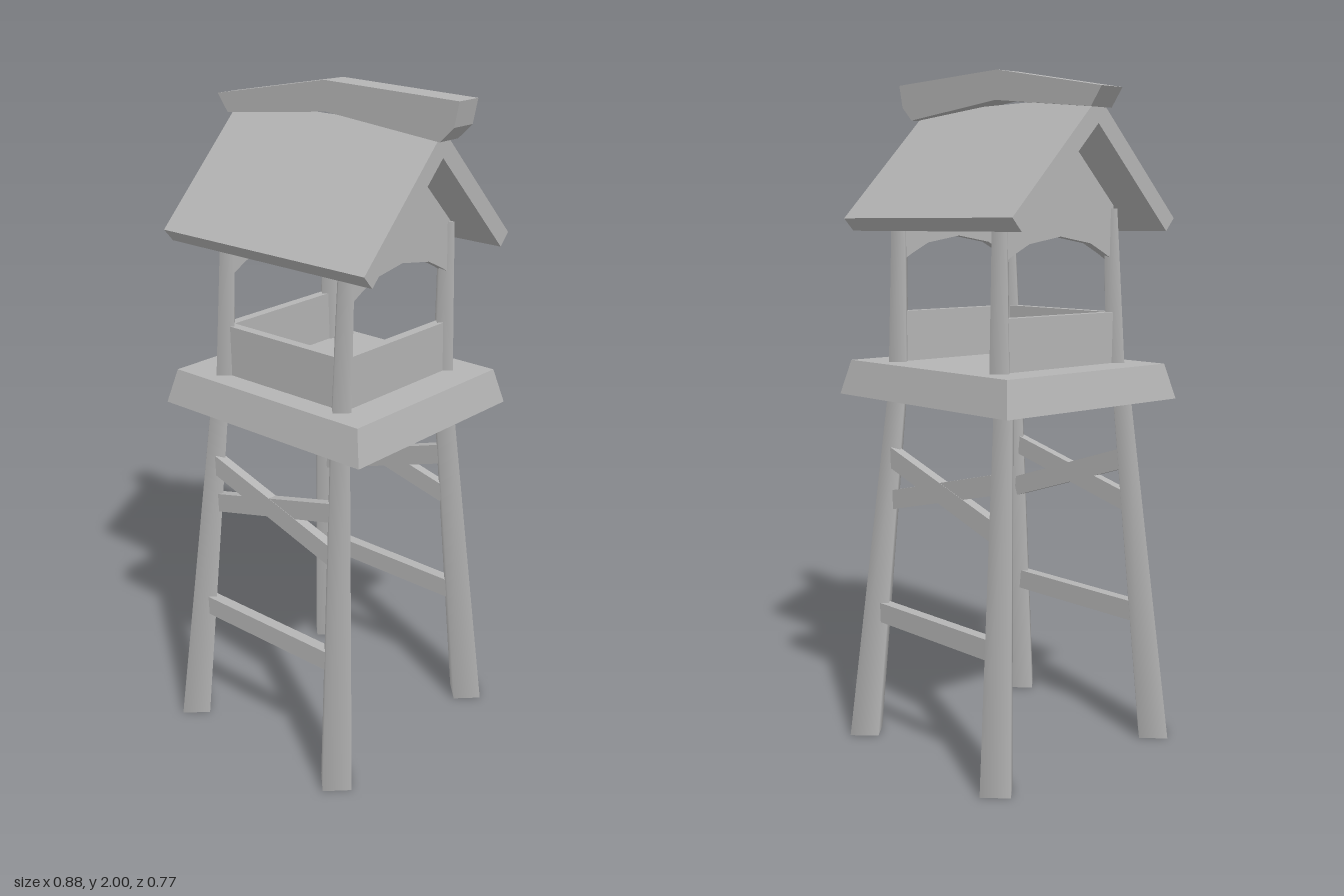
import * as THREE from 'three';

const grey = new THREE.MeshStandardMaterial({ color: 0xb4b4b4, side: THREE.DoubleSide });

function add(group, name, geometry) {
  const mesh = new THREE.Mesh(geometry, grey);
  mesh.name = name;
  group.add(mesh);
  return mesh;
}

// box given by its min and max corners
function block(group, name, a, b) {
  const mesh = add(group, name, new THREE.BoxGeometry(b[0] - a[0], b[1] - a[1], b[2] - a[2]));
  mesh.position.set((a[0] + b[0]) / 2, (a[1] + b[1]) / 2, (a[2] + b[2]) / 2);
  return mesh;
}

// four-sided tapered pole between two points, smooth shaded
function pole(group, name, from, to, rFrom, rTo) {
  const geo = new THREE.CylinderGeometry(rTo, rFrom, to[1] - from[1], 4);
  // shear instead of tilt, so that both ends stay level
  const pos = geo.attributes.position;
  const h = to[1] - from[1];
  for (let i = 0; i < pos.count; i++) {
    const t = pos.getY(i) / h + 0.5;
    pos.setXYZ(i,
      pos.getX(i) + THREE.MathUtils.lerp(from[0], to[0], t),
      from[1] + t * h,
      pos.getZ(i) + THREE.MathUtils.lerp(from[2], to[2], t));
  }
  return add(group, name, geo);
}

// flat plank in the x-y plane between two points
function plank(group, name, x0, y0, x1, y1, z, height, depth) {
  const length = Math.hypot(x1 - x0, y1 - y0);
  const mesh = add(group, name, new THREE.BoxGeometry(length, height, depth));
  mesh.position.set((x0 + x1) / 2, (y0 + y1) / 2, z);
  mesh.rotation.z = Math.atan2(y1 - y0, x1 - x0);
  return mesh;
}

function extrude(points, depth) {
  const shape = new THREE.Shape(points.map(([u, v]) => new THREE.Vector2(u, v)));
  return new THREE.ExtrudeGeometry(shape, { depth, bevelEnabled: false });
}

// profile in (z, y), extruded from x0 to x1
function extrudeX(points, x0, x1) {
  return extrude(points, x1 - x0).rotateY(-Math.PI / 2).translate(x1, 0, 0);
}

// sloping platform shell, open underneath
function platformGeometry() {
  const geo = new THREE.BoxGeometry(1, 1, 1);
  const index = Array.from(geo.index.array);
  index.splice(18, 6);
  geo.setIndex(index);
  geo.clearGroups();
  const pos = geo.attributes.position;
  for (let i = 0; i < pos.count; i++) {
    const top = pos.getY(i) > 0;
    const w = top ? 0.705 : 0.757, d = top ? 0.622 : 0.67;
    pos.setXYZ(i, pos.getX(i) * w - 0.0135, top ? 1.153 : 1.05, pos.getZ(i) * d - 0.006);
  }
  const flat = geo.toNonIndexed();
  flat.computeVertexNormals();
  return flat;
}

export function createModel() {
  const model = new THREE.Group();
  model.name = 'watchtower';

  // legs below the platform and posts above it
  for (const s of [1, -1]) {
    pole(model, 'leg', [-0.328, 0, s * 0.323], [-0.26, 1.08, s * 0.234], 0.061, 0.036);
    pole(model, 'leg', [0.28, 0, s * 0.323], [0.216, 1.08, s * 0.234], 0.061, 0.036);
    pole(model, 'roofPost', [-0.239, 1.145, s * 0.23], [-0.225, 1.605, s * 0.217], 0.038, 0.028);
    pole(model, 'roofPost', [0.217, 1.145, s * 0.23], [0.224, 1.605, s * 0.217], 0.037, 0.028);
  }

  // cross braces and rungs; the back pair is mirrored
  for (const s of [1, -1]) {
    const mx = (x) => s * (x + 0.027) - 0.027;
    plank(model, 'crossBrace', mx(-0.27), 0.867, mx(0.216), 0.709, s * 0.257, 0.06, 0.03);
    plank(model, 'crossBrace', mx(-0.27), 0.733, mx(0.216), 0.851, s * 0.257, 0.057, 0.028);
    plank(model, 'rung', -0.3, 0.388, 0.25, 0.388, s * 0.29, 0.06, 0.035);
  }

  add(model, 'platform', platformGeometry());

  // low walls, open at the back
  block(model, 'frontWall', [-0.225, 1.14, 0.205], [0.205, 1.303, 0.235]);
  block(model, 'leftWall', [0.202, 1.14, -0.22], [0.232, 1.303, 0.22]);
  block(model, 'rightWall', [-0.25, 1.14, -0.22], [-0.22, 1.303, 0.22]);

  // arched gable boards
  const gable = [[-0.215, 1.455], [-0.18, 1.475], [-0.12, 1.505], [0, 1.525], [0.12, 1.505],
    [0.18, 1.475], [0.215, 1.455], [0.215, 1.625], [0, 1.85], [-0.215, 1.625]];
  add(model, 'leftGable', extrudeX(gable, 0.208, 0.238));
  add(model, 'rightGable', extrudeX(gable, -0.24, -0.21));

  // folded roof
  add(model, 'roof', extrudeX([[0.318, 1.577], [0.003, 1.905], [-0.313, 1.577], [-0.28, 1.54],
    [0.003, 1.832], [0.286, 1.54]], -0.382, 0.37));

  // bent ridge beam with notched ends
  const ridge = extrude([[-0.44, 1.925], [-0.4, 1.873], [-0.013, 1.915], [0.38, 1.878],
    [0.425, 1.92], [0.44, 1.988], [-0.02, 2]], 0.08);
  add(model, 'ridgeBeam', ridge.translate(0, 0, -0.046));

  return model;
}
